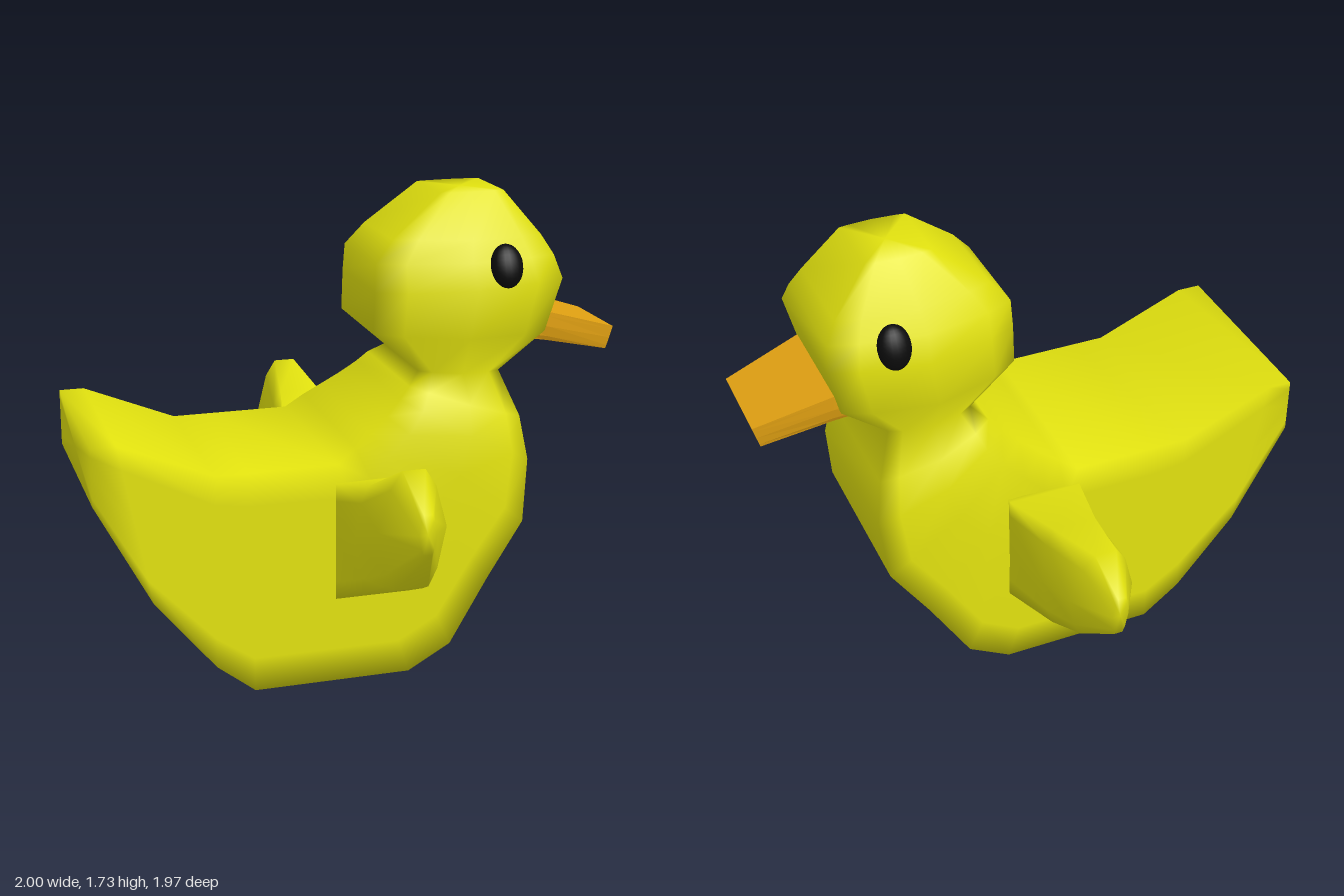
import * as THREE from 'three';

// Fractions across a section, and how far the width has moved from the edge to the middle
const STEPS = [0, 0.15, 0.5, 0.85, 1];
const BLEND = [0, 0.5, 1, 0.5, 0];

// Lofts rows of [aU, aV, bU, bV, halfA, halfMid, halfB]; place maps (u, v, h) to x, y, z
function loft(rows, place) {
  const pos = [], index = [];
  const n = STEPS.length * 2;
  const point = (r, k, side) => {
    const t = STEPS[k];
    const edge = t < 0.5 ? r[4] : r[6];
    const h = edge + (r[5] - edge) * BLEND[k];
    pos.push(...place(r[0] + (r[2] - r[0]) * t, r[1] + (r[3] - r[1]) * t, h * side));
  };
  rows.forEach((r) => {
    for (let k = 0; k < STEPS.length; k++) point(r, k, 1);
    for (let k = STEPS.length - 1; k >= 0; k--) point(r, k, -1);
  });
  for (let i = 0; i < rows.length - 1; i++) {
    for (let j = 0; j < n; j++) {
      const a = i * n + j, b = i * n + (j + 1) % n;
      index.push(a, b, b + n, a, b + n, a + n);
    }
  }
  // End caps
  [0, rows.length - 1].forEach((i) => {
    const r = rows[i], centre = pos.length / 3;
    pos.push(...place((r[0] + r[2]) / 2, (r[1] + r[3]) / 2, 0));
    for (let j = 0; j < n; j++) {
      const a = i * n + j, b = i * n + (j + 1) % n;
      if (i === 0) index.push(centre, b, a);
      else index.push(centre, a, b);
    }
  });
  const g = new THREE.BufferGeometry();
  g.setAttribute('position', new THREE.Float32BufferAttribute(pos, 3));
  g.setIndex(index);
  g.computeVertexNormals();
  return g;
}

export function createModel() {
  const group = new THREE.Group();
  const yellow = new THREE.MeshStandardMaterial({ color: 0xe2e20f });
  const orange = new THREE.MeshStandardMaterial({ color: 0xe0a012, flatShading: true });
  const black = new THREE.MeshStandardMaterial({ color: 0x0a0a0a });
  const MID = 0.02; // the body sits slightly off the wing centre

  const add = (name, geometry, material) => {
    const mesh = new THREE.Mesh(geometry, material);
    mesh.name = name;
    group.add(mesh);
    return mesh;
  };
  const alongX = (u, v, h) => [u, v, h + MID];

  // Tail, body, neck and head as one skin, from the tail end to the crown
  const W = 0.365;
  add('bodyAndHead', loft([
    [-1.0, 0.97, -1.0, 0.76, W, W, W],
    [-0.91, 0.97, -0.8, 0.38, W, W, W],
    [-0.57, 0.83, -0.58, 0.11, W, W, W],
    [-0.45, 0.83, -0.44, 0.0, W, W, W],
    [-0.13, 0.83, 0.14, 0.0, W, W, W],
    [-0.06, 0.88, 0.3, 0.09, 0.35, W, W],
    [0.0, 0.92, 0.45, 0.33, 0.33, W, 0.35],
    [0.07, 0.97, 0.59, 0.53, 0.3, W, 0.33],
    [0.13, 1.02, 0.615, 0.76, 0.27, W, 0.3],
    [0.17, 1.06, 0.59, 0.92, 0.25, 0.32, 0.27],
    [0.22, 1.1, 0.53, 1.08, 0.2, 0.25, 0.2],
    [0.05, 1.25, 0.7, 1.22, 0.2, 0.32, 0.22],
    [0.055, 1.4, 0.75, 1.42, 0.2, 0.32, 0.25],
    [0.06, 1.5, 0.73, 1.5, 0.19, 0.28, 0.21],
    [0.13, 1.58, 0.69, 1.57, 0.17, 0.24, 0.18],
    [0.32, 1.73, 0.56, 1.73, 0.13, 0.14, 0.13],
  ], alongX), yellow);

  // Beak
  add('beak', loft([
    [0.6, 1.32, 0.6, 1.2, 0.22, 0.22, 0.21],
    [0.72, 1.285, 0.72, 1.175, 0.205, 0.205, 0.19],
    [1.0, 1.2, 0.975, 1.115, 0.16, 0.16, 0.155],
  ], alongX), orange);

  // Wings, the left one raised a little higher
  add('leftWing', loft([
    [0.3, 0.76, 0.3, 0.32, 0.137, 0.137, 0.137],
    [0.385, 0.76, 0.385, 0.32, 0.137, 0.137, 0.137],
    [0.58, 0.81, 0.65, 0.44, 0.08, 0.137, 0.1],
    [0.83, 0.945, 0.82, 0.52, 0.04, 0.12, 0.06],
    [0.98, 0.84, 0.98, 0.7, 0.015, 0.03, 0.015],
  ], (u, v, h) => [-h, v, u]), yellow);
  add('rightWing', loft([
    [0.28, 0.76, 0.28, 0.32, 0.137, 0.137, 0.137],
    [0.35, 0.76, 0.35, 0.32, 0.137, 0.137, 0.137],
    [0.6, 0.81, 0.65, 0.42, 0.08, 0.137, 0.1],
    [0.85, 0.875, 0.8, 0.48, 0.04, 0.12, 0.06],
    [0.985, 0.78, 0.97, 0.61, 0.015, 0.03, 0.015],
  ], (u, v, h) => [h, v, -u]), yellow);

  // Eyes, leaning with the sides of the head
  for (const side of [1, -1]) {
    const eye = add(side > 0 ? 'leftEye' : 'rightEye', new THREE.SphereGeometry(1, 20, 14), black);
    eye.scale.set(0.06, 0.08, 0.04);
    eye.position.set(0.52, 1.485, MID + side * 0.283);
    eye.rotation.x = -side * 0.36;
  }
  return group;
}
